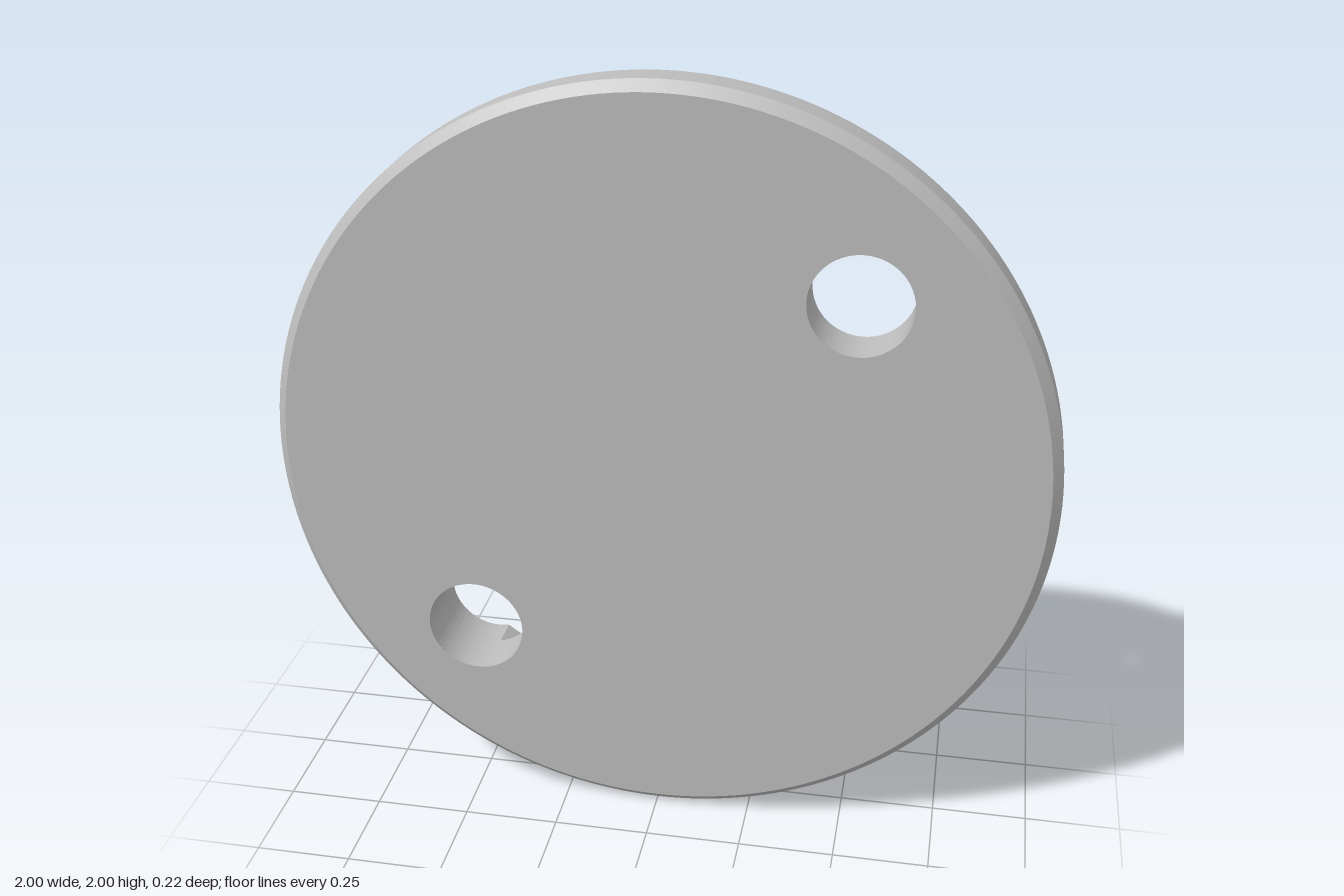
import * as THREE from 'three';
import { toCreasedNormals } from 'three/addons/utils/BufferGeometryUtils.js';

const FRONT = 0.11, STEP = -0.025, BACK = -0.11; // z levels
const CHAMFER = 0.026;
const RIM_OUTER = 0.887, RIM_INNER = 0.77;
const HOLE_R = 0.128, HOLE_D = 0.693; // hole radius, distance from centre
const HOLE_ANGLES = [Math.PI / 4, Math.PI * 5 / 4];

function finish(name, geometry, material) {
  const mesh = new THREE.Mesh(toCreasedNormals(geometry, 0.5), material);
  mesh.name = name;
  return mesh;
}

function disc(radius) {
  return new THREE.Shape().absarc(0, 0, radius, 0, Math.PI * 2, false);
}

export function createModel() {
  const grey = new THREE.MeshStandardMaterial({ color: 0xbcbcbc });
  grey.name = 'grey';

  // Plate with two through holes; middle layers move outward to form chamfers
  const plateShape = disc(1 - CHAMFER);
  for (const t of HOLE_ANGLES) {
    plateShape.holes.push(new THREE.Path().absarc(
      HOLE_D * Math.cos(t), HOLE_D * Math.sin(t), HOLE_R, 0, Math.PI * 2, true));
  }
  const plateGeo = new THREE.ExtrudeGeometry(plateShape,
    { depth: 3, steps: 3, bevelEnabled: false, curveSegments: 96 });
  const levels = [STEP, STEP + CHAMFER, FRONT - CHAMFER, FRONT];
  const pos = plateGeo.attributes.position;
  for (let i = 0; i < pos.count; i++) {
    const layer = Math.round(pos.getZ(i));
    const x = pos.getX(i), y = pos.getY(i), r = Math.hypot(x, y);
    if (r > 0.9 && (layer === 1 || layer === 2)) pos.setXY(i, x / r, y / r);
    pos.setZ(i, levels[layer]);
  }

  // Raised back rim, its inner wall notched where the holes cut into it
  const a = Math.acos((RIM_INNER ** 2 + HOLE_D ** 2 - HOLE_R ** 2) / (2 * RIM_INNER * HOLE_D));
  const b = Math.acos((RIM_INNER ** 2 - HOLE_D ** 2 - HOLE_R ** 2) / (2 * HOLE_D * HOLE_R));
  const inner = new THREE.Path();
  for (const t of HOLE_ANGLES) {
    inner.absarc(HOLE_D * Math.cos(t), HOLE_D * Math.sin(t), HOLE_R, t - b, t + b, false);
    inner.absarc(0, 0, RIM_INNER, t + a, t + Math.PI - a, false);
  }
  const rimShape = disc(RIM_OUTER);
  rimShape.holes.push(inner);
  const rimGeo = new THREE.ExtrudeGeometry(rimShape,
    { depth: STEP - BACK, bevelEnabled: false, curveSegments: 72 });
  rimGeo.translate(0, 0, BACK);

  const group = new THREE.Group();
  group.name = 'cover';
  group.add(finish('plate', plateGeo, grey), finish('backRim', rimGeo, grey));
  for (const part of group.children) part.position.y = 1;
  return group;
}
